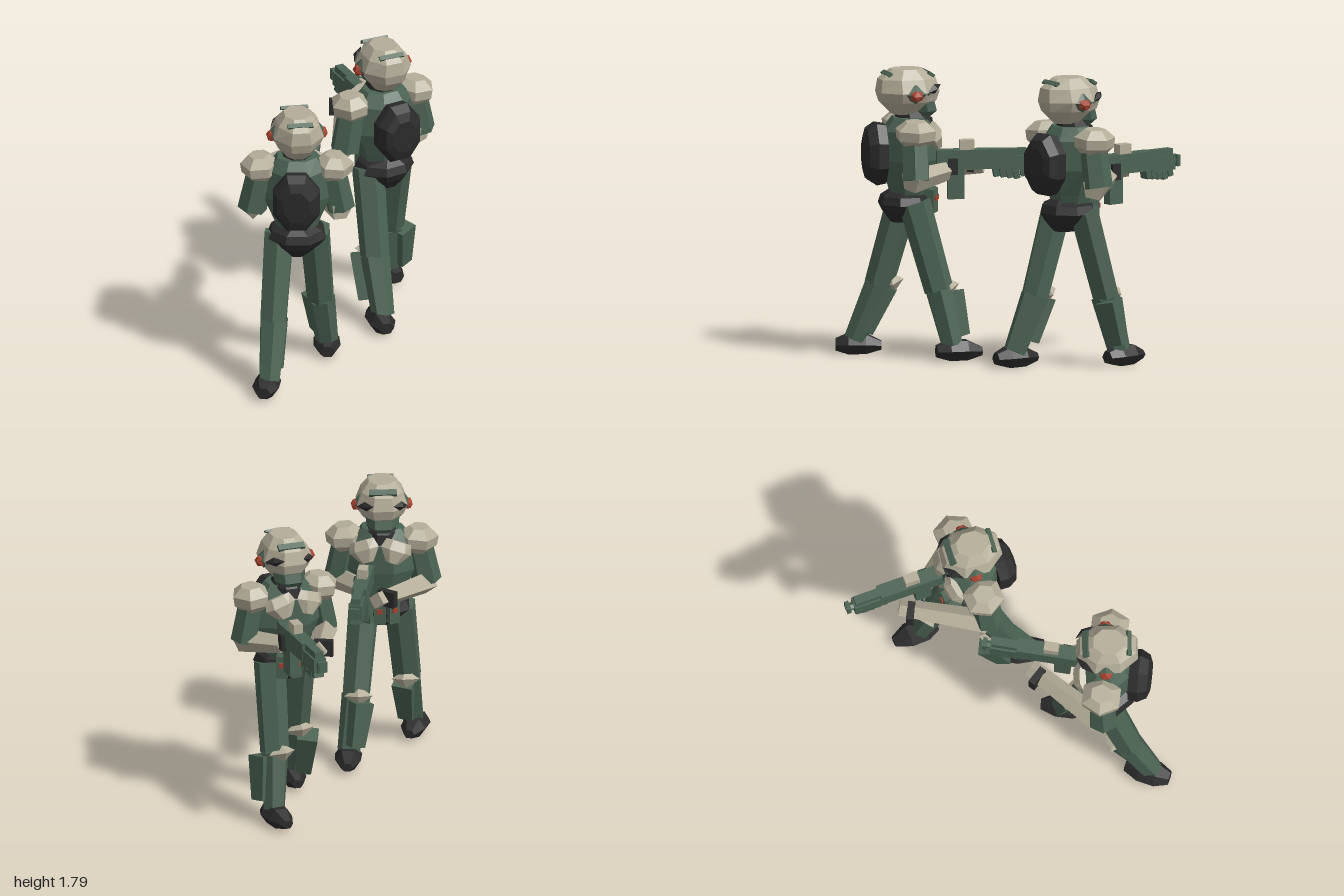
import * as THREE from 'three';

const V = (p) => new THREE.Vector3(...p);
const colour = (name, hex) => {
  const m = new THREE.MeshStandardMaterial({ color: hex });
  m.name = name;
  return m;
};

export function createModel() {
  const green = colour('armour green', 0x4b6353);
  const beige = colour('plate beige', 0xb4ad99);
  const black = colour('dark grey', 0x2b2b2c);
  const red = colour('signal red', 0xa8432f);

  // Faceted mesh from any geometry
  function add(parent, name, geo, mat, pos = [0, 0, 0], rot = [0, 0, 0]) {
    const g = geo.index ? geo.toNonIndexed() : geo;
    g.computeVertexNormals();
    const mesh = new THREE.Mesh(g, mat);
    mesh.name = name;
    mesh.position.set(...pos);
    mesh.rotation.set(...rot);
    parent.add(mesh);
    return mesh;
  }
  const box = (w, h, d) => new THREE.BoxGeometry(w, h, d);
  const gem = (x, y, z) => new THREE.OctahedronGeometry(1).scale(x, y, z);

  // Closed solid from rings along y: [y, half width, half depth, z offset]
  function solid(rings, n = 8) {
    const pos = [], k = 1 / Math.cos(Math.PI / n);
    const pt = ([y, rx, rz, oz = 0], i) => {
      const a = ((i + 0.5) / n) * Math.PI * 2;
      return [Math.sin(a) * rx * k, y, Math.cos(a) * rz * k + oz];
    };
    const last = rings[rings.length - 1], first = rings[0];
    for (let i = 0; i < n; i++) {
      for (let r = 0; r < rings.length - 1; r++) {
        const a = pt(rings[r], i), b = pt(rings[r], i + 1);
        const c = pt(rings[r + 1], i + 1), d = pt(rings[r + 1], i);
        pos.push(...a, ...b, ...c, ...a, ...c, ...d);
      }
      pos.push(...pt(last, i), ...pt(last, i + 1), 0, last[0], last[3] || 0);
      pos.push(...pt(first, i + 1), ...pt(first, i), 0, first[0], first[3] || 0);
    }
    const g = new THREE.BufferGeometry();
    g.setAttribute('position', new THREE.Float32BufferAttribute(pos, 3));
    return g;
  }

  // Tapered prism from point a to point b
  function limb(parent, name, mat, a, b, ra, rb, n = 6) {
    const from = V(a), dir = V(b).sub(from);
    const g = new THREE.CylinderGeometry(rb, ra, dir.length(), n);
    g.rotateY(Math.PI / n);
    const mesh = add(parent, name, g, mat);
    mesh.position.copy(from).addScaledVector(dir, 0.5);
    mesh.quaternion.setFromUnitVectors(new THREE.Vector3(0, 1, 0), dir.normalize());
  }

  function addHead(parent, yaw) {
    const head = new THREE.Group();
    head.name = 'head';
    head.rotation.y = yaw;
    parent.add(head);
    add(head, 'helmet', solid([[1.52, 0.07, 0.075, 0.03], [1.6, 0.13, 0.17, 0.01],
      [1.66, 0.155, 0.187, 0.01], [1.74, 0.125, 0.172, 0.015], [1.8, 0.08, 0.095, 0.02]]), beige);
    add(head, 'jaw', solid([[1.5, 0.05, 0.05, -0.08], [1.535, 0.085, 0.075, -0.09],
      [1.59, 0.09, 0.07, -0.08]], 6), green);
    add(head, 'collar', solid([[1.42, 0.11, 0.13, -0.02], [1.49, 0.088, 0.11, -0.03], [1.55, 0.07, 0.07, 0]]), black);
    add(head, 'rearBrow', box(0.16, 0.014, 0.03), green, [0, 1.772, 0.143], [0.6, 0, 0]);
    add(head, 'frontBrow', box(0.17, 0.02, 0.04), green, [0, 1.765, -0.122], [-0.6, 0, 0]);
    for (const s of [-1, 1]) {
      add(head, 'earGuard', gem(0.045, 0.06, 0.1), green, [s * 0.137, 1.655, 0]);
      add(head, 'earLight', new THREE.IcosahedronGeometry(1, 0).scale(0.035, 0.04, 0.045), red, [s * 0.158, 1.645, 0]);
      add(head, 'eye', gem(0.075, 0.03, 0.026), black, [s * 0.108, 1.68, -0.13], [0, -s * 0.87, -s * 0.25]);
    }
  }

  function addTorso(parent) {
    const torso = new THREE.Group();
    torso.name = 'torso';
    torso.rotation.y = -0.13;
    parent.add(torso);
    add(torso, 'chest', solid([[0.98, 0.11, 0.1], [1.08, 0.14, 0.125], [1.24, 0.205, 0.155],
      [1.42, 0.175, 0.155], [1.5, 0.12, 0.1]]), green);
    add(torso, 'backpack', solid([[0.15, 0.14, 0.18], [0.21, 0.145, 0.19], [0.265, 0.12, 0.155],
      [0.283, 0.08, 0.1]]), black, [-0.005, 1.275, 0], [Math.PI / 2, 0, 0]);
    for (const s of [-1, 1]) {
      add(torso, 'chestPlate', solid([[-0.07, 0.035, 0.02], [0.01, 0.085, 0.04], [0.07, 0.07, 0.02]], 6),
        beige, [s * 0.095, 1.385, -0.15], [0.25, -s * 0.25, -s * 0.3]);
      add(torso, 'shoulderPad', solid([[-0.08, 0.06, 0.07], [-0.035, 0.1, 0.11], [0.025, 0.104, 0.115],
        [0.075, 0.055, 0.06]], 6), beige, [s * 0.228, 1.427, 0], [0, 0, -s * 0.08]);
    }
    // Hips and belt
    add(torso, 'pelvis', solid([[0.85, 0.06, 0.07, 0.04], [0.92, 0.14, 0.14, 0.02], [0.965, 0.175, 0.16, 0.02],
      [1.015, 0.155, 0.145, 0.02], [1.05, 0.08, 0.1, 0.02]]), black);
    for (const i of [-1, 0, 1]) {
      const pouch = new THREE.Group();
      pouch.name = 'beltPouch';
      pouch.rotation.y = -i * 0.55;
      torso.add(pouch);
      add(pouch, 'pouchBox', box(0.07, 0.145, 0.08), green, [0, 0.985, -0.135]);
      add(pouch, 'pouchLight', box(0.032, 0.03, 0.02), red, [0, 1.0, -0.174]);
    }
  }

  function addArms(parent) {
    limb(parent, 'leftUpperArm', green, [-0.215, 1.43, -0.02], [-0.275, 1.14, -0.02], 0.085, 0.092);
    limb(parent, 'rightUpperArm', green, [0.21, 1.43, 0.03], [0.265, 1.14, 0.04], 0.085, 0.092);
    limb(parent, 'leftForearm', beige, [-0.28, 1.13, -0.03], [0.06, 1.19, -0.46], 0.075, 0.055, 4);
    limb(parent, 'rightForearm', beige, [0.27, 1.14, 0.08], [0.14, 1.17, -0.19], 0.08, 0.06, 5);
    add(parent, 'leftHand', box(0.12, 0.1, 0.045), black, [-0.01, 1.19, -0.42], [0, -0.66, 0]);
    add(parent, 'rightHand', box(0.1, 0.1, 0.06), black, [0.135, 1.2, -0.235], [0, -0.2, 0]);
  }

  function addRifle(parent) {
    const rifle = new THREE.Group();
    rifle.name = 'rifle';
    rifle.position.set(0.135, 0, -0.33);
    rifle.rotation.y = -0.18;
    parent.add(rifle);
    add(rifle, 'receiver', box(0.09, 0.12, 0.4), green, [0, 1.24, -0.01]);
    add(rifle, 'topRail', box(0.055, 0.045, 0.56), green, [0, 1.278, -0.09]);
    add(rifle, 'foreStock', box(0.08, 0.09, 0.18), green, [0, 1.215, -0.29]);
    add(rifle, 'barrel', new THREE.CylinderGeometry(0.025, 0.025, 0.08, 6), green, [0, 1.22, -0.39], [Math.PI / 2, 0, 0]);
    add(rifle, 'muzzle', box(0.06, 0.07, 0.025), green, [0, 1.22, -0.415]);
    add(rifle, 'scope', box(0.06, 0.06, 0.09), beige, [0, 1.33, 0]);
    add(rifle, 'magazine', box(0.06, 0.19, 0.1), green, [0, 1.09, 0.07]);
    for (let i = 0; i < 5; i++)
      add(rifle, 'gripRidge', box(0.065, 0.05, 0.036), green, [0, 1.155 - 0.005 * (i % 4), -0.18 - i * 0.042], [0.2, 0, 0]);
  }

  function addLeg(parent, side, hip, knee, ankle, guard, pad, foot, yaw) {
    const leg = new THREE.Group();
    leg.name = side + 'Leg';
    parent.add(leg);
    limb(leg, 'thigh', green, hip, knee, 0.1, 0.09);
    limb(leg, 'shin', green, knee, ankle, 0.09, 0.07);
    limb(leg, 'shinGuard', green, guard[0], guard[1], 0.09, 0.065, 4);
    add(leg, 'kneePad', gem(0.09, 0.06, 0.07), beige, pad, [0.3, yaw, 0]);
    add(leg, 'boot', solid([[-0.145, 0.03, 0.025, 0.01], [-0.05, 0.068, 0.06], [0.06, 0.072, 0.062],
      [0.14, 0.04, 0.035, 0.005]], 6).rotateX(Math.PI / 2), black, foot, [0, yaw, 0]);
  }

  // One soldier, facing -z
  function soldier(name, x, z, yaw, headYaw, guards) {
    const s = new THREE.Group();
    s.name = name;
    addHead(s, headYaw);
    addTorso(s);
    addArms(s);
    addRifle(s);
    addLeg(s, 'left', [-0.11, 0.98, 0], [-0.165, 0.44, 0.14], [-0.21, 0.1, 0.28],
      guards[0], [-0.15, 0.455, 0.055], [-0.22, 0.07, 0.255], -0.32);
    addLeg(s, 'right', [0.11, 0.98, 0], [0.165, 0.44, -0.14], [0.215, 0.1, -0.21],
      guards[1], [0.155, 0.455, -0.205], [0.22, 0.07, -0.25], -0.1);
    s.position.set(x, 0, z);
    s.rotation.y = yaw;
    return s;
  }

  const model = new THREE.Group();
  model.name = 'soldierPair';
  // Shin guards sit in front on one soldier and further out on the other
  model.add(
    soldier('rearSoldier', -0.31, 0.6, 0, 0, [
      [[-0.145, 0.43, 0.09], [-0.17, 0.15, 0.22]],
      [[0.145, 0.42, -0.215], [0.18, 0.15, -0.27]]]),
    soldier('leadSoldier', 0.335, -0.23, 0.52, -0.25, [
      [[-0.19, 0.42, 0.03], [-0.22, 0.15, 0.12]],
      [[0.225, 0.42, -0.1], [0.265, 0.15, -0.15]]]));
  return model;
}
